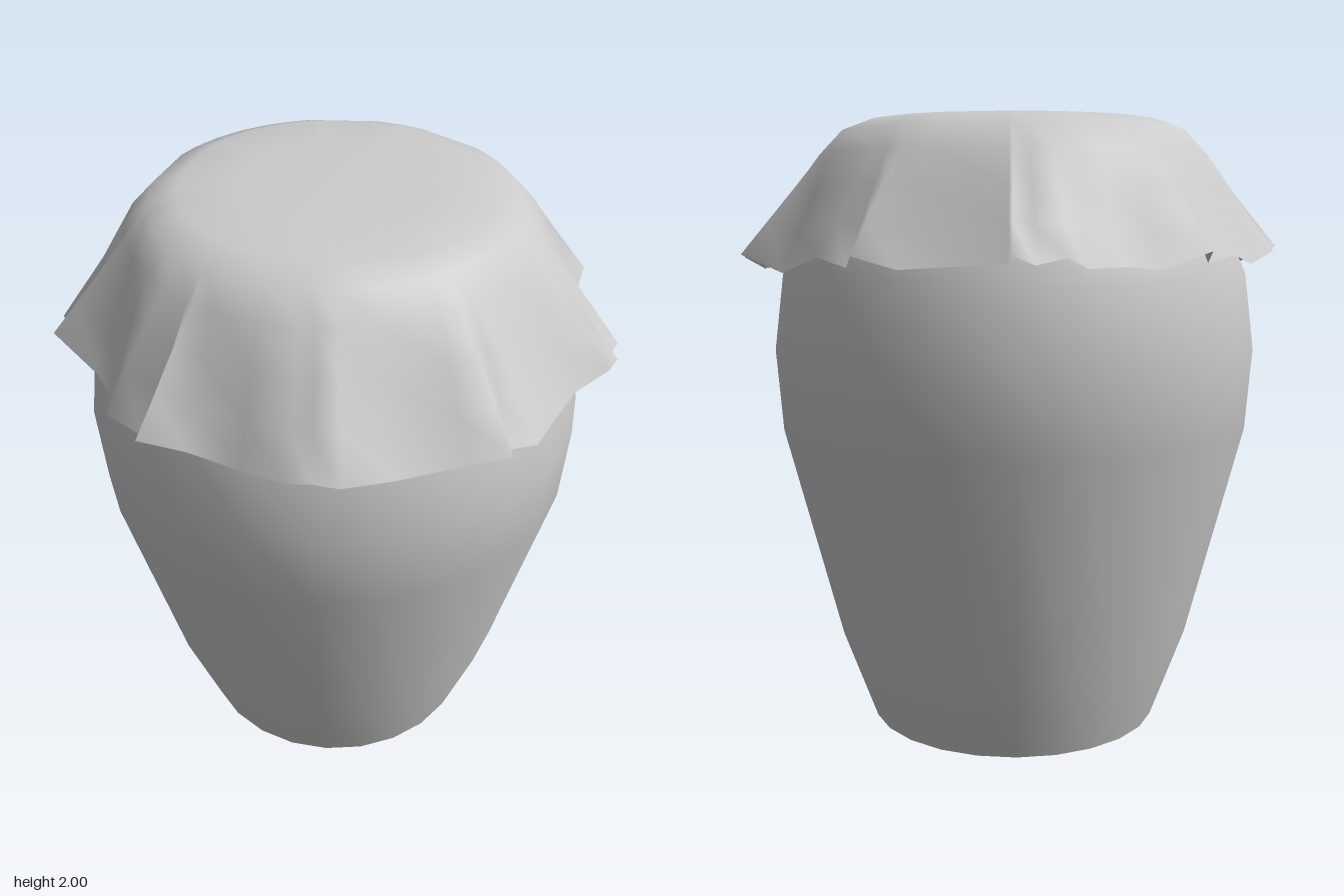
import * as THREE from 'three';

const CX = -0.02, CZ = -0.035; // jar axis

// Ruffled hem of the cloth seen from above: x, z
const HEM = [
  0.86, 0.08, 0.81, 0.15, 0.85, 0.17, 0.82, 0.22, 0.72, 0.28, 0.65, 0.43, 0.59, 0.6, 0.52, 0.58,
  0.52, 0.67, 0.4, 0.66, 0.2, 0.75, 0.06, 0.85, -0.02, 0.8, -0.08, 0.83, -0.22, 0.74, -0.38, 0.67,
  -0.51, 0.71, -0.5, 0.65, -0.62, 0.58, -0.64, 0.43, -0.71, 0.32, -0.86, 0.21, -0.82, 0.16,
  -0.86, 0.09, -0.8, -0.1, -0.77, -0.4, -0.7, -0.45, -0.72, -0.52, -0.58, -0.56, -0.5, -0.66,
  -0.4, -0.72, -0.36, -0.8, -0.27, -0.8, -0.22, -0.86, -0.2, -0.83, 0.12, -0.82, 0.24, -0.86,
  0.28, -0.79, 0.36, -0.81, 0.58, -0.55, 0.74, -0.5, 0.69, -0.43, 0.79, -0.37, 0.76, -0.27, 0.81, -0.04,
];

function clothGeometry() {
  const n = HEM.length / 2;
  // Rings over the lid: radius, height
  const lid = [[0.3, 1.995], [0.47, 1.985], [0.56, 1.95], [0.63, 1.875]];
  const skirt = [0.33, 0.67, 1];
  const rings = lid.length + skirt.length;
  const pos = [CX, 2, CZ], index = [];
  for (let k = 0; k < rings; k++) {
    for (let i = 0; i < n; i++) {
      const dx = HEM[2 * i] - CX, dz = HEM[2 * i + 1] - CZ;
      const rim = Math.hypot(dx, dz);
      let [r, y] = lid[Math.min(k, lid.length - 1)];
      if (k >= lid.length) {
        // Folds grow from the lid edge out to the hem; outer folds lift higher
        const t = skirt[k - lid.length];
        const hemY = 1.5 + 0.6 * (rim - 0.77) - 0.03 * dx - 0.03 * dz;
        r += (rim - r) * t;
        y += (hemY - y) * t;
      }
      pos.push(CX + dx / rim * r, y, CZ + dz / rim * r);
    }
  }
  for (let i = 0; i < n; i++) {
    const j = (i + 1) % n;
    index.push(0, 1 + j, 1 + i);
    for (let k = 0; k < rings - 1; k++) {
      const a = 1 + k * n + i, b = 1 + k * n + j;
      index.push(a, b, a + n, b, b + n, a + n);
    }
  }
  const g = new THREE.BufferGeometry();
  g.setAttribute('position', new THREE.Float32BufferAttribute(pos, 3));
  g.setIndex(index);
  g.computeVertexNormals();
  return g;
}

export function createModel() {
  const group = new THREE.Group();
  const grey = new THREE.MeshStandardMaterial({ color: 0xcccccc });
  const clothMat = new THREE.MeshStandardMaterial({ color: 0xcccccc, side: THREE.DoubleSide });
  const add = (name, geometry, material) => {
    const mesh = new THREE.Mesh(geometry, material);
    mesh.name = name;
    group.add(mesh);
    return mesh;
  };

  // Jar body, widest near the shoulder
  const profile = [[0.48, 0], [0.59, 0.3], [0.77, 1], [0.79, 1.26], [0.76, 1.5], [0.69, 1.66], [0.58, 1.84], [0.54, 1.93]];
  const jar = add('jarBody', new THREE.LatheGeometry(profile.map(p => new THREE.Vector2(...p)), 24), grey);
  jar.position.set(CX, 0, CZ);

  // Flat base
  const base = add('jarBase', new THREE.CircleGeometry(0.48, 24), grey);
  base.rotation.x = Math.PI / 2;
  base.position.set(CX, 0, CZ);

  // Cloth draped over the mouth
  add('clothCover', clothGeometry(), clothMat);
  return group;
}
